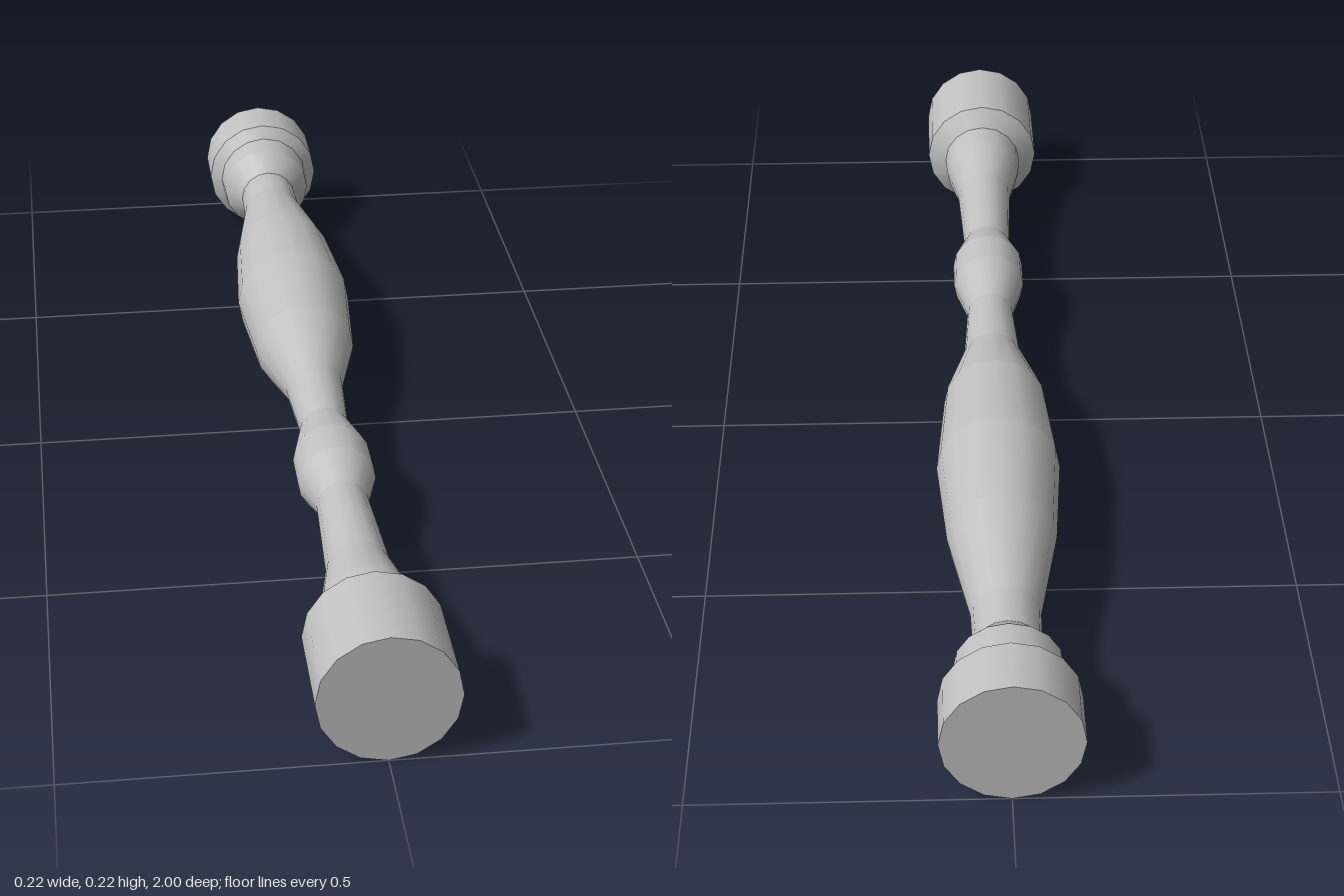
import * as THREE from 'three';
import { mergeGeometries } from 'three/addons/utils/BufferGeometryUtils.js';

const SIDES = 16;
const RADIUS = 0.112;

// Turned section along z from [z, radius] pairs (front to back): smooth around, crisp between bands
function turned(name, profile, material, capFront = false, capBack = false) {
  const pieces = [];
  for (let i = 0; i < profile.length - 1; i++) {
    const [z0, r0] = profile[i];
    const [z1, r1] = profile[i + 1];
    const band = new THREE.CylinderGeometry(r0, r1, z0 - z1, SIDES, 1, true);
    band.rotateX(Math.PI / 2);
    band.translate(0, 0, (z0 + z1) / 2);
    pieces.push(band);
  }
  const cap = ([z, r], back) => {
    const disc = new THREE.CircleGeometry(r, SIDES);
    if (back) disc.rotateY(Math.PI);
    disc.translate(0, 0, z);
    pieces.push(disc);
  };
  if (capFront) cap(profile[0], false);
  if (capBack) cap(profile[profile.length - 1], true);
  const mesh = new THREE.Mesh(mergeGeometries(pieces), material);
  mesh.name = name;
  return mesh;
}

export function createModel() {
  const grey = new THREE.MeshStandardMaterial({ color: 0xc0c0c0 });
  grey.name = 'plain grey';

  const model = new THREE.Group();
  model.name = 'turnedSpindle';
  model.add(
    // Long end block with a chamfered shoulder
    turned('frontBlock', [[1, RADIUS], [0.825, RADIUS], [0.8, 0.077]], grey, true),
    // Flared neck
    turned('frontNeck', [[0.8, 0.077], [0.75, 0.074], [0.65, 0.053], [0.45, 0.044]], grey),
    // Small bead
    turned('bead', [[0.45, 0.044], [0.375, 0.067], [0.3, 0.067], [0.2, 0.043]], grey),
    // Slim waist swelling into the long belly
    turned('belly', [[0.2, 0.043], [0.05, 0.052], [-0.1, 0.091], [-0.3, 0.107],
      [-0.5, 0.092], [-0.7, 0.057], [-0.78, 0.055]], grey),
    // Collar behind the belly
    turned('backCollar', [[-0.78, 0.055], [-0.825, 0.087], [-0.88, 0.09]], grey),
    // Short end block
    turned('backBlock', [[-0.88, 0.09], [-0.9, RADIUS], [-1, RADIUS]], grey, false, true),
  );
  model.position.y = RADIUS;
  const root = new THREE.Group();
  root.add(model);
  return root;
}
